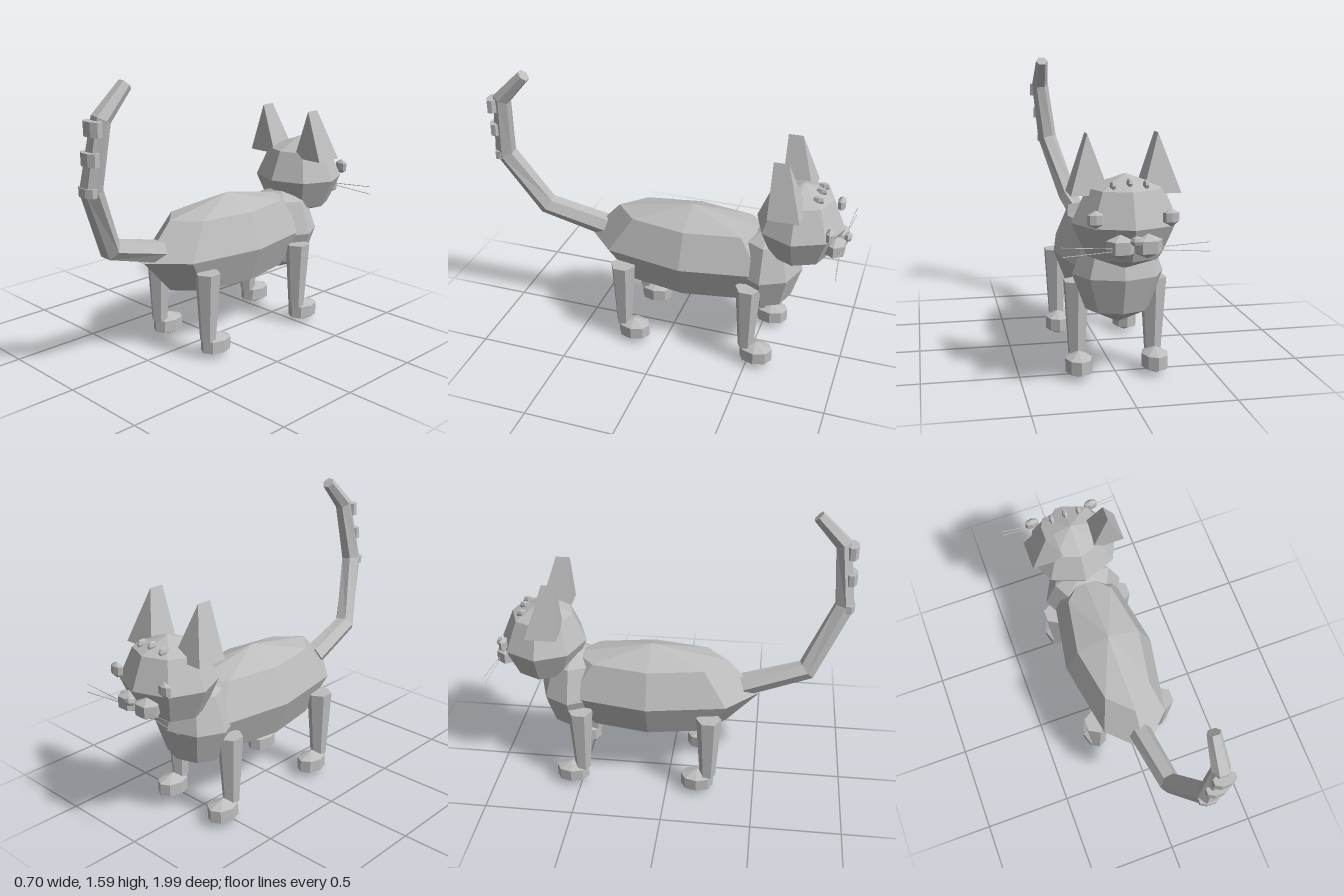
import * as THREE from 'three';

const grey = new THREE.MeshStandardMaterial({ color: 0xbdbdbd, flatShading: true });
grey.name = 'plain grey';

export function createModel() {
  const cat = new THREE.Group();
  cat.name = 'cat';

  const add = (name, geometry, x = 0, y = 0, z = 0) => {
    const mesh = new THREE.Mesh(geometry, grey);
    mesh.name = name;
    mesh.position.set(x, y, z);
    cat.add(mesh);
    return mesh;
  };
  // Low-poly ellipsoid
  const blob = (name, pos, radii, sides = 8, rows = 4) =>
    add(name, new THREE.SphereGeometry(1, sides, rows).scale(...radii), ...pos);
  // Thin straight rod between two points
  const rod = (name, a, b, r) => {
    const dir = new THREE.Vector3().subVectors(b, a);
    const mesh = add(name, new THREE.CylinderGeometry(r, r, dir.length(), 5));
    mesh.position.addVectors(a, b).multiplyScalar(0.5);
    mesh.quaternion.setFromUnitVectors(new THREE.Vector3(0, 1, 0), dir.normalize());
  };

  // Trunk and head, facing -z
  blob('body', [0, 0.565, -0.11], [0.262, 0.28, 0.62]);
  blob('chest', [0, 0.55, -0.555], [0.235, 0.26, 0.19]);
  blob('head', [0, 0.845, -0.715], [0.265, 0.235, 0.24]);
  blob('nose', [0, 0.8, -0.975], [0.033, 0.025, 0.022], 6, 4);
  for (const x of [-0.08, 0, 0.08])
    blob('foreheadMark', [x, x ? 1.035 : 1.045, -0.812], [0.016, 0.025, 0.034], 6, 4);

  // Ear wedge: triangle extruded back to front, its ridge shorter than its base
  const triangle = new THREE.Shape([
    new THREE.Vector2(-0.095, 0), new THREE.Vector2(0.095, 0), new THREE.Vector2(0, 0.285)]);
  const earGeometry = new THREE.ExtrudeGeometry(triangle, { depth: 0.17, bevelEnabled: false });
  const ep = earGeometry.attributes.position;
  for (let i = 0; i < ep.count; i++)
    if (ep.getY(i) > 0.2 && ep.getZ(i) < 0.1) ep.setZ(i, 0.09);

  for (const s of [-1, 1]) {
    const side = s > 0 ? 'right' : 'left';
    add(side + 'Ear', earGeometry, s * 0.175, 0.98, -0.755);
    blob(side + 'Eye', [s * 0.18, 0.893, -0.902], [0.045, 0.044, 0.025], 8, 3);
    blob(side + 'Muzzle', [s * 0.065, 0.764, -0.918], [0.08, 0.06, 0.067], 6, 3);
    for (const [y0, y1] of [[0.762, 0.783], [0.752, 0.738]])
      rod(side + 'Whisker', new THREE.Vector3(s * 0.08, y0, -0.95),
        new THREE.Vector3(s * 0.35, y1, -0.97), 0.002);

    // Legs and paws
    for (const [end, z] of [['Front', -0.49], ['Hind', 0.237]]) {
      add(side + end + 'Leg', new THREE.CylinderGeometry(0.071, 0.045, 0.39, 6), s * 0.202, 0.305, z);
      blob(side + end + 'Paw', [s * 0.2, 0.073, z - 0.06], [0.081, 0.07, 0.107], 8, 3);
    }
  }

  // Tail: hexagonal rings along a bent path, closed at both ends
  const path = [[0, 0.612, 0.41], [0.04, 0.714, 0.76], [0.147, 1.075, 0.943],
    [0.195, 1.42, 0.908], [0.2, 1.568, 0.765]].map(p => new THREE.Vector3(...p));
  const radii = [0.065, 0.06, 0.058, 0.05, 0.036];
  const sides = 6, verts = [], faces = [];
  path.forEach((p, i) => {
    const t = new THREE.Vector3();
    if (i > 0) t.add(p.clone().sub(path[i - 1]).normalize());
    if (i < path.length - 1) t.add(path[i + 1].clone().sub(p).normalize());
    t.normalize();
    const u = new THREE.Vector3(1, 0, 0).addScaledVector(t, -t.x).normalize();
    const v = new THREE.Vector3().crossVectors(t, u);
    for (let k = 0; k < sides; k++) {
      const a = k / sides * Math.PI * 2;
      const q = p.clone().addScaledVector(u, Math.cos(a) * radii[i]).addScaledVector(v, Math.sin(a) * radii[i]);
      verts.push(q.x, q.y, q.z);
      if (i < path.length - 1) {
        const n = i * sides, b = n + (k + 1) % sides;
        faces.push(n + k, b, n + k + sides, b, b + sides, n + k + sides);
      }
    }
  });
  const last = (path.length - 1) * sides;
  for (let k = 1; k < sides - 1; k++) faces.push(0, k + 1, k, last, last + k, last + k + 1);
  const tail = new THREE.BufferGeometry();
  tail.setAttribute('position', new THREE.Float32BufferAttribute(verts, 3));
  tail.setIndex(faces);
  tail.computeVertexNormals();
  add('tail', tail);

  // Raised bands on the back of the tail
  for (const [x, y, z, w, h] of [[0.148, 1.072, 0.963, 0.057, 0.045],
    [0.173, 1.235, 0.962, 0.057, 0.065], [0.195, 1.382, 0.957, 0.057, 0.072]])
    add('tailBand', new THREE.CylinderGeometry(1, 1, h, 8).rotateY(Math.PI / 8).scale(w * 1.08, 1, 0.036), x, y, z);

  return cat;
}
